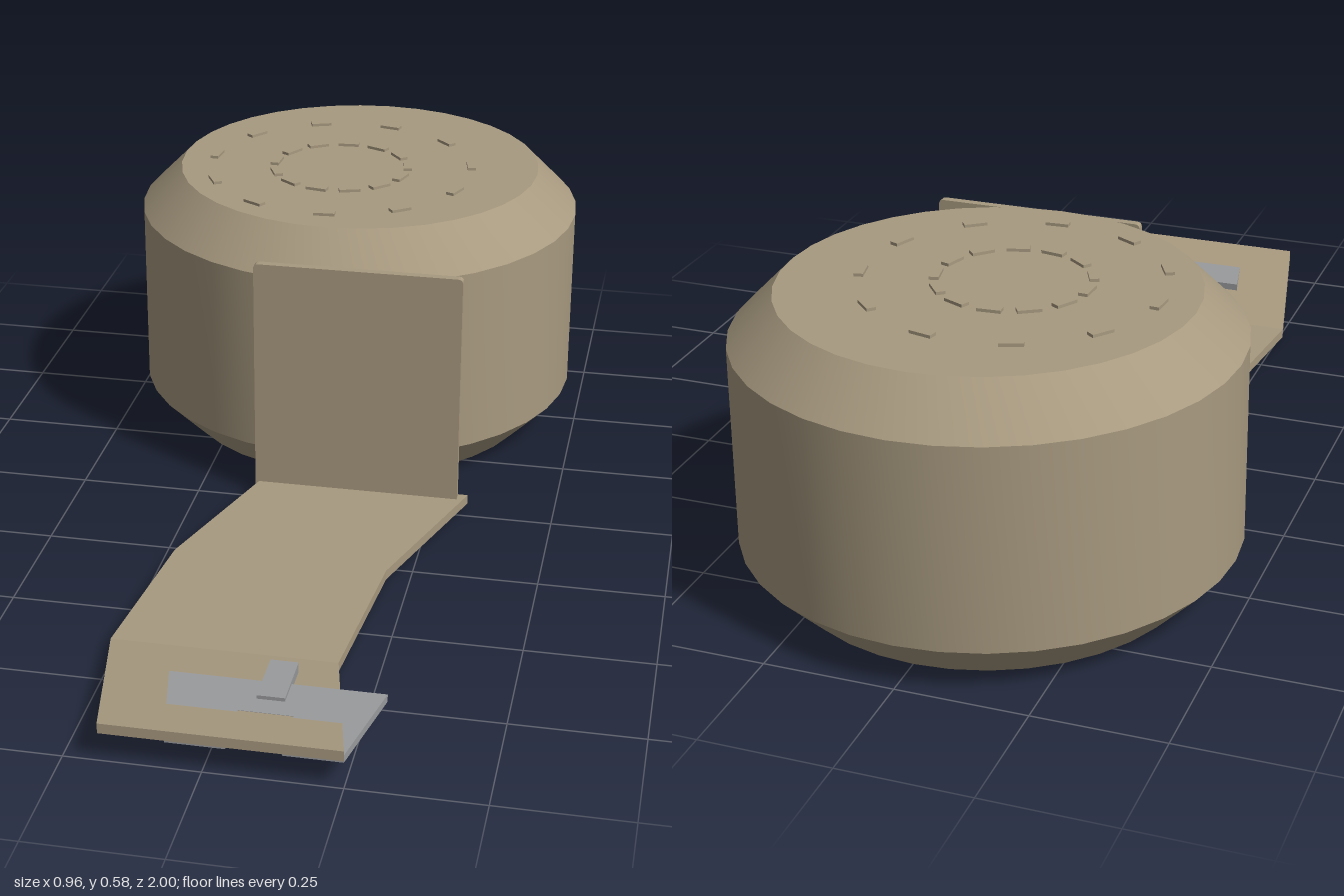
import * as THREE from 'three';
import { toCreasedNormals } from 'three/addons/utils/BufferGeometryUtils.js';

export function createModel() {
  const model = new THREE.Group();
  const tan = new THREE.MeshStandardMaterial({ color: 0xa89a80 });
  tan.name = 'tan';
  const grey = new THREE.MeshStandardMaterial({ color: 0x9a9b9d });
  grey.name = 'grey';

  const add = (name, geometry, material, x = 0, y = 0, z = 0, parent = model) => {
    const mesh = new THREE.Mesh(geometry, material);
    mesh.name = name;
    mesh.position.set(x, y, z);
    parent.add(mesh);
    return mesh;
  };

  // Round drum with chamfered rims and closed ends
  const profile = [[0, 0], [0.392, 0], [0.478, 0.088], [0.478, 0.483], [0.392, 0.57], [0, 0.57]];
  const drum = new THREE.LatheGeometry(profile.map(p => new THREE.Vector2(...p)), 36);
  add('drum', toCreasedNormals(drum, 0.5), tan, 0, 0.002, -0.522);

  // Two rings of small raised ticks on the lid
  const tick = new THREE.BoxGeometry(0.018, 0.01, 0.045);
  const addRing = (name, radius, count, start) => {
    const ring = new THREE.Group();
    ring.name = name;
    ring.position.set(-0.035, 0.573, -0.485);
    for (let i = 0; i < count; i++) {
      const a = start + (i / count) * Math.PI * 2;
      const mesh = add('tick', tick, tan, radius * Math.cos(a), 0, radius * Math.sin(a), ring);
      mesh.rotation.y = -a;
    }
    model.add(ring);
  };
  addRing('outerTicks', 0.285, 11, 0.94);
  addRing('innerTicks', 0.145, 13, 0.3);

  // Upright plate with small rounded top corners
  const plate = new THREE.Shape();
  plate.moveTo(-0.13, 0.005);
  plate.lineTo(0.3, 0.005);
  plate.lineTo(0.3, 0.515);
  plate.quadraticCurveTo(0.3, 0.525, 0.29, 0.525);
  plate.lineTo(-0.12, 0.525);
  plate.quadraticCurveTo(-0.13, 0.525, -0.13, 0.515);
  plate.closePath();
  const plateGeo = new THREE.ExtrudeGeometry(plate, { depth: 0.016, bevelEnabled: false, curveSegments: 4 });
  add('uprightPlate', plateGeo, tan, 0, 0, -0.036);

  // Strap: box cross-sections [left x, right x, bottom y, z] joined in a loop
  const sections = [
    [-0.115, 0.32, 0.008, -0.043],
    [-0.225, 0.205, 0.008, 0.3],
    [-0.26, 0.175, 0.008, 0.65],
    [-0.185, 0.25, 0.058, 1],
  ].map(([l, r, y, z]) => [[l, y, z], [r, y, z], [r, y + 0.02, z], [l, y + 0.02, z]]);
  const points = [];
  const quad = (a, b, c, d) => points.push(...a, ...b, ...c, ...a, ...c, ...d);
  for (let i = 0; i < sections.length - 1; i++) {
    const s = sections[i], t = sections[i + 1];
    for (let k = 0; k < 4; k++) {
      const n = (k + 1) % 4;
      quad(s[k], s[n], t[n], t[k]);
    }
  }
  const [first, last] = [sections[0], sections[sections.length - 1]];
  quad(first[3], first[2], first[1], first[0]);
  quad(last[0], last[1], last[2], last[3]);
  const strap = new THREE.BufferGeometry();
  strap.setAttribute('position', new THREE.Float32BufferAttribute(points, 3));
  strap.computeVertexNormals();
  add('strap', strap, tan);

  // Forked clip: a bar with two tapered prongs passing through the strap
  const clip = new THREE.Group();
  clip.name = 'clip';
  clip.position.set(0.09, 0, 0);
  model.add(clip);
  const fork = new THREE.Shape([
    [-0.2, 0.79], [0.2, 0.79], [0.158, 0.99], [0.05, 0.99],
    [0.05, 0.89], [-0.05, 0.89], [-0.05, 0.99], [-0.158, 0.99],
  ].map(p => new THREE.Vector2(...p)));
  const forkGeo = new THREE.ExtrudeGeometry(fork, { depth: 0.015, bevelEnabled: false });
  forkGeo.rotateX(Math.PI / 2);
  add('fork', forkGeo, grey, 0, 0.063, 0, clip);
  add('tongue', new THREE.BoxGeometry(0.052, 0.02, 0.12), grey, 0, 0.06, 0.788, clip);

  return model;
}
